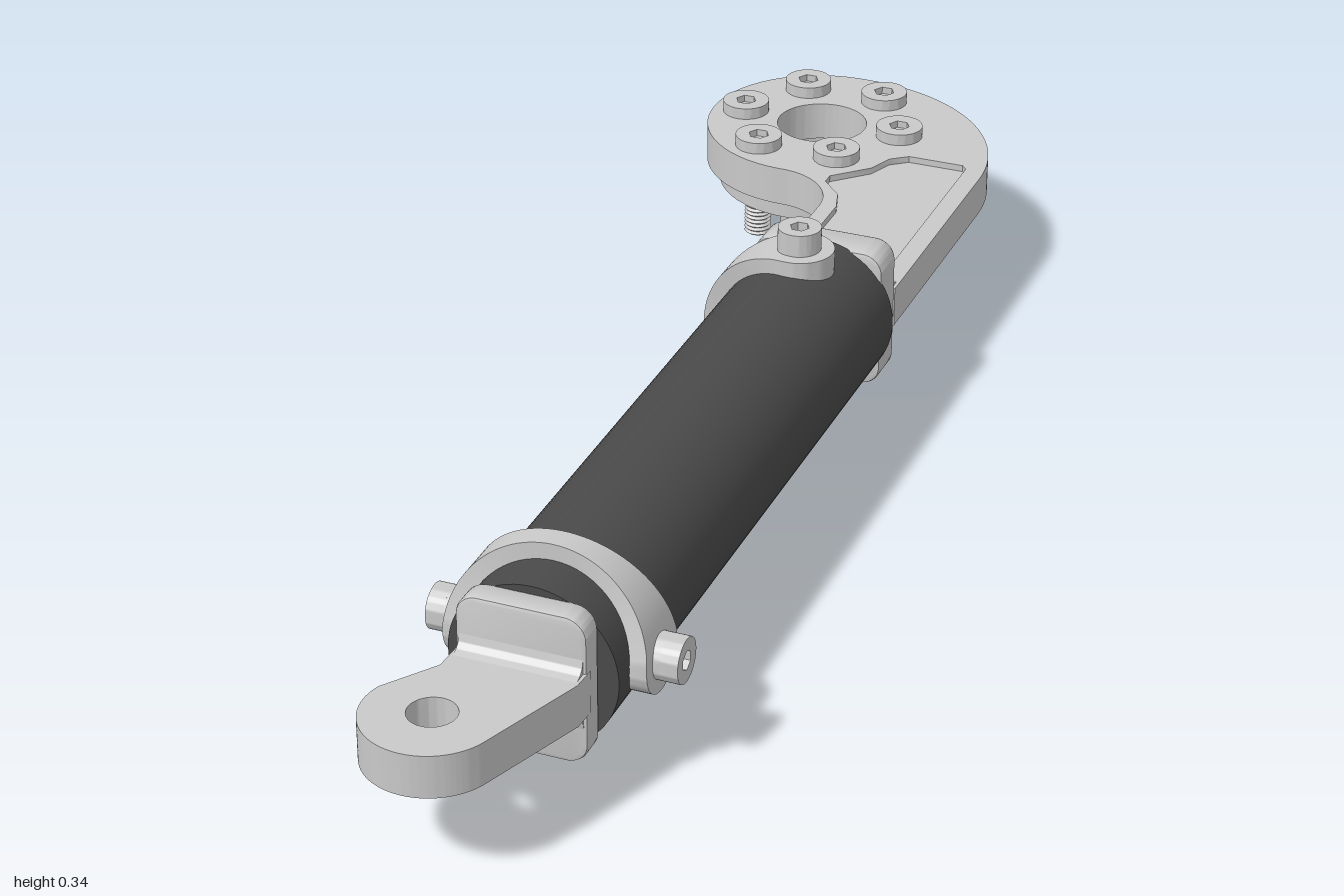
import * as THREE from 'three';
import { toCreasedNormals } from 'three/addons/utils/BufferGeometryUtils.js';

const AX = 0.1, AY = 0.171;            // tube axis
const HUB_X = -0.092, HUB_Z = -0.82;   // centre of the round flange

export function createModel() {
  const model = new THREE.Group();
  const metal = new THREE.MeshStandardMaterial({ name: 'light grey metal', color: 0xc9c9c9 });
  const dark = new THREE.MeshStandardMaterial({ name: 'dark tube', color: 0x4a4a4a });

  const add = (parent, name, geo, mat = metal, x = 0, y = 0, z = 0) => {
    const m = new THREE.Mesh(toCreasedNormals(geo, 0.6), mat);
    m.name = name;
    m.position.set(x, y, z);
    parent.add(m);
    return m;
  };
  const circle = (x, y, r) => new THREE.Path().absarc(x, y, r, 0, Math.PI * 2, true);
  const poly = (pts, Type = THREE.Shape) => new Type(pts.map(p => new THREE.Vector2(p[0], p[1])));
  // plan shape (x, -z) extruded upwards from y0 to y1
  const plate = (shape, y0, y1) => new THREE.ExtrudeGeometry(shape,
    { depth: y1 - y0, bevelEnabled: false, curveSegments: 40 }).rotateX(-Math.PI / 2).translate(0, y0, 0);

  // cap with a hexagonal socket, standing on y = 0
  const screwHead = (r, h, socket) => {
    const g = new THREE.Group();
    g.name = 'screwHead';
    const rim = new THREE.Shape().absarc(0, 0, r, 0, Math.PI * 2, false);
    const hex = [];
    for (let i = 0; i < 6; i++) hex.push([socket * Math.cos(-i * Math.PI / 3), socket * Math.sin(-i * Math.PI / 3)]);
    rim.holes.push(poly(hex, THREE.Path));
    add(g, 'screwRim', plate(rim, h * 0.4, h));
    add(g, 'screwBase', new THREE.CylinderGeometry(r, r, h * 0.4, 40), metal, 0, h * 0.2, 0);
    return g;
  };

  // Tube
  add(model, 'tube', new THREE.CylinderGeometry(0.115, 0.115, 1.01, 64).rotateX(Math.PI / 2), dark, AX, AY, 0.225);

  // Rounded end plates
  const endPlate = (name, w, z0, z1) => {
    const a = w / 2, b = 0.105, r = 0.03, s = new THREE.Shape();
    s.absarc(a - r, b - r, r, 0, Math.PI / 2);
    s.absarc(-a + r, b - r, r, Math.PI / 2, Math.PI);
    s.absarc(-a + r, -b + r, r, Math.PI, Math.PI * 1.5);
    s.absarc(a - r, -b + r, r, Math.PI * 1.5, Math.PI * 2);
    const bev = 0.005;
    add(model, name, new THREE.ExtrudeGeometry(s, { depth: z1 - z0 - 2 * bev, bevelThickness: bev, bevelSize: bev,
      bevelOffset: -bev, bevelSegments: 2, curveSegments: 8 }), metal, AX, AY, z0 + bev);
  };
  endPlate('frontEndPlate', 0.175, 0.728, 0.765);
  endPlate('rearEndPlate', 0.196, -0.335, -0.275);

  // Concave fillets where the flat arms leave the end plates
  const fillet = (name, w, z, dir, up) => {
    const r = 0.02, s = new THREE.Shape();
    s.moveTo(0, 0);
    s.lineTo(r, 0);
    s.absarc(r, r, r, -Math.PI / 2, -Math.PI, true);
    s.lineTo(0, 0);
    const g = new THREE.ExtrudeGeometry(s, { depth: w, bevelEnabled: false, curveSegments: 8 });
    g.translate(0, 0, -w / 2).rotateY(-Math.PI / 2);           // profile now lies in z, y
    if (dir < 0) g.rotateY(Math.PI);
    if (up < 0) g.rotateZ(Math.PI);
    add(model, name, g, metal, AX, up > 0 ? 0.2 : 0.14, z);
  };
  for (const up of [1, -1]) {
    fillet('frontFillet', 0.165, 0.765, 1, up);
    fillet('rearFillet', 0.19, -0.335, -1, up);
  }

  // Front lug with eye
  const lug = poly([[0.188, -0.755], [0.015, -0.755], [0.013, -0.81]]);
  lug.absarc(0.048, -0.911, 0.089, Math.PI * 0.89, Math.PI * 1.89, false);
  lug.lineTo(0.186, -0.79);
  lug.holes.push(circle(0.048, -0.907, 0.032));
  add(model, 'frontLug', plate(lug, 0.14, 0.2));

  // Hooked rear arm: solid core with pocketed skins above and below
  const arm = pocketed => {
    const s = poly([[0.005, 0.33], [0.2, 0.33], [0.2, 0.72]]);
    s.absarc(-0.08, 0.72, 0.28, 0, Math.PI / 2, false);
    s.absarc(HUB_X, -HUB_Z, 0.18, Math.PI / 2, Math.PI * 1.5, false);
    s.absarc(HUB_X, 0.543, 0.097, Math.PI / 2, 0, true);
    s.lineTo(0.005, 0.33);
    s.holes.push(circle(HUB_X, -HUB_Z, 0.07));
    if (pocketed) {
      s.holes.push(poly([[0.035, 0.395], [0.03, 0.4], [0.03, 0.55], [0.018, 0.59], [-0.015, 0.625], [-0.015, 0.645],
        [0.035, 0.695], [0.05, 0.735], [0.075, 0.755], [0.162, 0.755], [0.17, 0.745], [0.17, 0.4], [0.165, 0.395]],
      THREE.Path));
    }
    return s;
  };
  add(model, 'armCore', plate(arm(false), 0.15, 0.19));
  add(model, 'armTopSkin', plate(arm(true), 0.19, 0.2));
  add(model, 'armBottomSkin', plate(arm(true), 0.14, 0.15));

  // Flange ring beneath the arm
  const ring = new THREE.Shape().absarc(HUB_X, -HUB_Z, 0.16, 0, Math.PI * 2, false);
  ring.holes.push(circle(HUB_X, -HUB_Z, 0.085));
  add(model, 'flangeRing', plate(ring, 0.108, 0.14));

  // Six threaded flange screws
  const thread = [[0, 0.05], [0.017, 0.05]];
  for (let i = 0; i < 9; i++) thread.push([0.021, 0.053 + i * 0.0065], [0.017, 0.0562 + i * 0.0065]);
  thread.push([0.017, 0.115]);
  for (let i = 0; i < 6; i++) {
    const a = i * Math.PI / 3, g = new THREE.Group();
    g.name = 'flangeScrew';
    g.position.set(HUB_X + 0.128 * Math.cos(a), 0, HUB_Z + 0.128 * Math.sin(a));
    add(g, 'threadedShank', new THREE.LatheGeometry(thread.map(p => new THREE.Vector2(...p)), 20));
    const head = screwHead(0.036, 0.018, 0.016);
    head.position.y = 0.2;
    g.add(head);
    model.add(g);
  }

  // Three smooth dowel pins
  const pin = [[0, 0.055], [0.016, 0.055], [0.02, 0.059], [0.02, 0.115]].map(p => new THREE.Vector2(...p));
  for (let i = 0; i < 3; i++) {
    const a = Math.PI / 2 + i * Math.PI * 2 / 3;
    add(model, 'dowelPin', new THREE.LatheGeometry(pin, 24), metal,
      HUB_X + 0.125 * Math.cos(a), 0, HUB_Z + 0.125 * Math.sin(a));
  }

  // Saddle clamp: a strap over the tube, tapering from two round bosses to a narrow crown
  const saddle = () => {
    const path = [], R = 0.138, r = 0.114, B = 0.05;
    const side = [];
    for (let i = 0; i <= 12; i++) {
      const y = -B * Math.cos(i / 12 * Math.PI / 2);
      side.push([R, y, Math.sqrt(r * r - y * y), y]);
    }
    path.push(...side);
    for (let i = 1; i < 48; i++) {
      const a = i / 48 * Math.PI, c = Math.cos(a), s = Math.sin(a);
      path.push([R * c, R * s, r * c, r * s]);
    }
    path.push(...side.reverse().map(p => [-p[0], p[1], -p[2], p[3]]));
    const pos = [], idx = [];
    for (const [ox, oy, ix, iy] of path) {
      const w = oy < 0.017 ? Math.sqrt(Math.max(B * B - oy * oy, 1e-6)) : 0.047 - (oy - 0.017) / 0.121 * 0.03;
      pos.push(ox, oy, w, ox, oy, -w, ix, iy, -w, ix, iy, w);
    }
    for (let k = 0; k < path.length - 1; k++) {
      for (let j = 0; j < 4; j++) {
        const a = k * 4 + j, b = k * 4 + (j + 1) % 4;
        idx.push(a, b, b + 4, a, b + 4, a + 4);
      }
    }
    const e = (path.length - 1) * 4;
    idx.push(0, 2, 1, 0, 3, 2, e, e + 1, e + 2, e, e + 2, e + 3);
    const g = new THREE.BufferGeometry();
    g.setAttribute('position', new THREE.Float32BufferAttribute(pos, 3));
    g.setIndex(idx);
    return g;
  };
  for (const [name, z, turn] of [['frontClamp', 0.648, 0], ['rearClamp', -0.2, Math.PI / 2]]) {
    const g = new THREE.Group();
    g.name = name;
    g.position.set(AX, AY, z);
    g.rotation.z = turn;
    add(g, 'saddle', saddle());
    for (const s of [1, -1]) {
      const head = screwHead(0.031, 0.041, 0.014);
      head.position.x = s * 0.13;
      head.rotation.z = -s * Math.PI / 2;
      g.add(head);
    }
    model.add(g);
  }
  return model;
}
